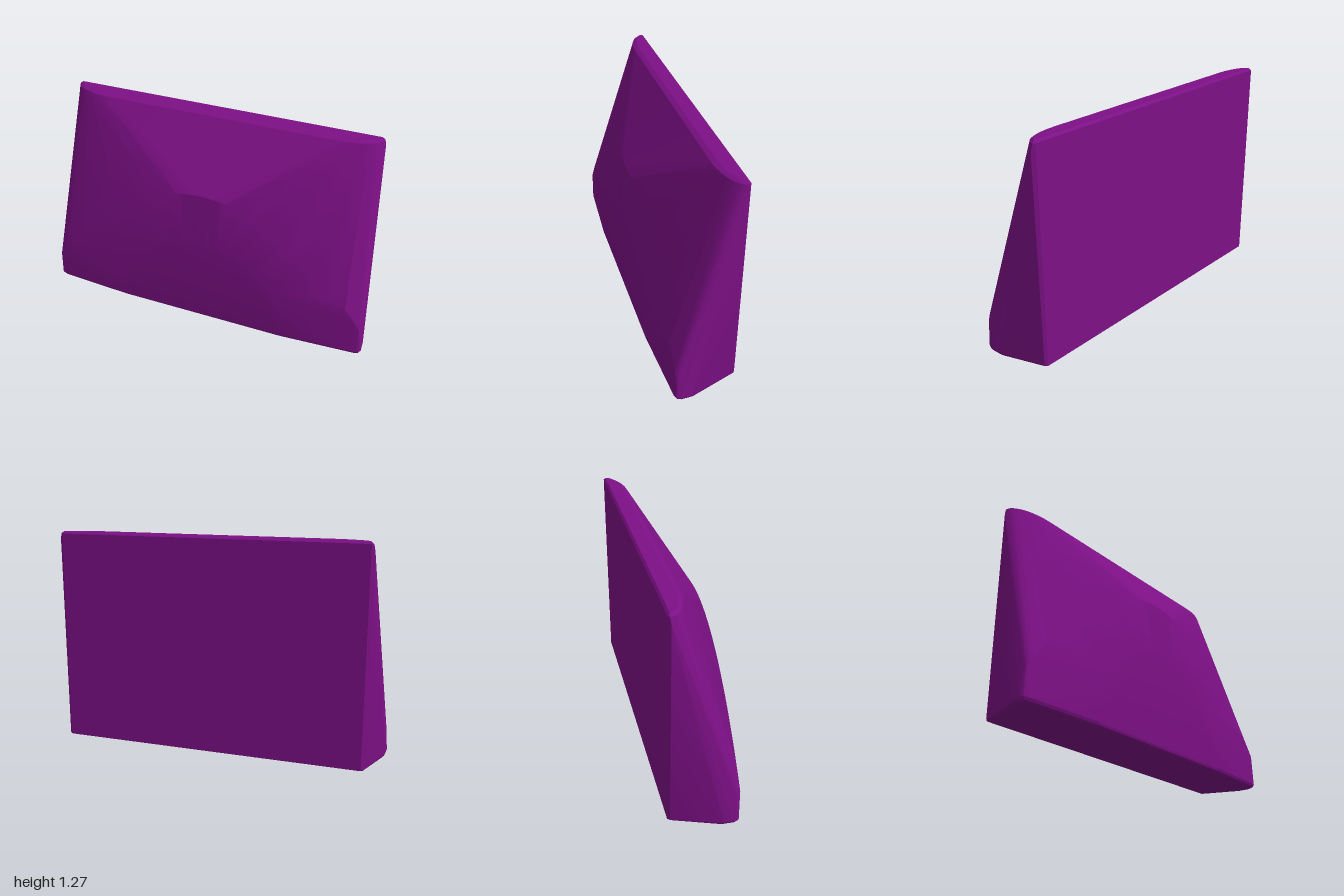
import * as THREE from 'three';
import { ConvexGeometry } from 'three/addons/geometries/ConvexGeometry.js';
import { toCreasedNormals } from 'three/addons/utils/BufferGeometryUtils.js';

const H = 1.27;

export function createModel() {
  const points = [];
  // Adds a point and its mirror image across x = 0
  const pair = (x, y, z) => {
    points.push(new THREE.Vector3(x, y, z));
    if (x > 0) points.push(new THREE.Vector3(-x, y, z));
  };

  // Flat rectangular back with a small bevel
  for (const [y, edge] of [[0.015, 0.02], [H - 0.012, H - 0.03]]) {
    pair(0.895, y, -0.2);
    pair(0.91, edge, -0.188);
  }

  // Narrow top: straight front edge with curved ends, rounded over
  const steps = 10;
  for (let i = 0; i <= steps; i++) {
    const a = (i / steps) * Math.PI / 2;
    const c = Math.cos(a), s = Math.sin(a);
    pair(0.67 + 0.235 * s, H - 0.012, -0.19 + 0.103 * c);
    pair(0.665 + 0.225 * s, H, -0.188 + 0.075 * c);
  }
  pair(0.914, 1.21, -0.185);

  // Bottom outline, with an inset ring below it for the rounded edge
  const base = [[0.91, -0.188], [0.998, 0.08], [1, 0.145], [0.992, 0.165], [0.97, 0.173], [0.52, 0.2]];
  for (const [x, z] of base) {
    pair(x, 0.025, z);
    pair(x - 0.006, 0.01, z - 0.006 * Math.sign(z));
    pair(x - 0.02, 0, z - 0.02 * Math.sign(z));
  }

  // Short upright corners beside the ends of the outer arch
  pair(0.989, 0.17, 0.145);
  pair(0.986, 0.18, 0.16);

  // Outer and inner arches raised on the front
  for (let i = 0; i <= 20; i++) {
    const t = i / 20;
    pair(0.972 * t, 0.895 - 0.69 * t * t, 0.17);
    pair(0.52 * t, 0.57 - 0.37 * t ** 2.2, 0.2);
  }

  const geometry = toCreasedNormals(new ConvexGeometry(points), 0.4);
  const body = new THREE.Mesh(geometry, new THREE.MeshStandardMaterial({ color: 0x7d1086 }));
  body.name = 'wedgeBody';

  const group = new THREE.Group();
  group.name = 'roundedWedge';
  group.add(body);
  return group;
}
